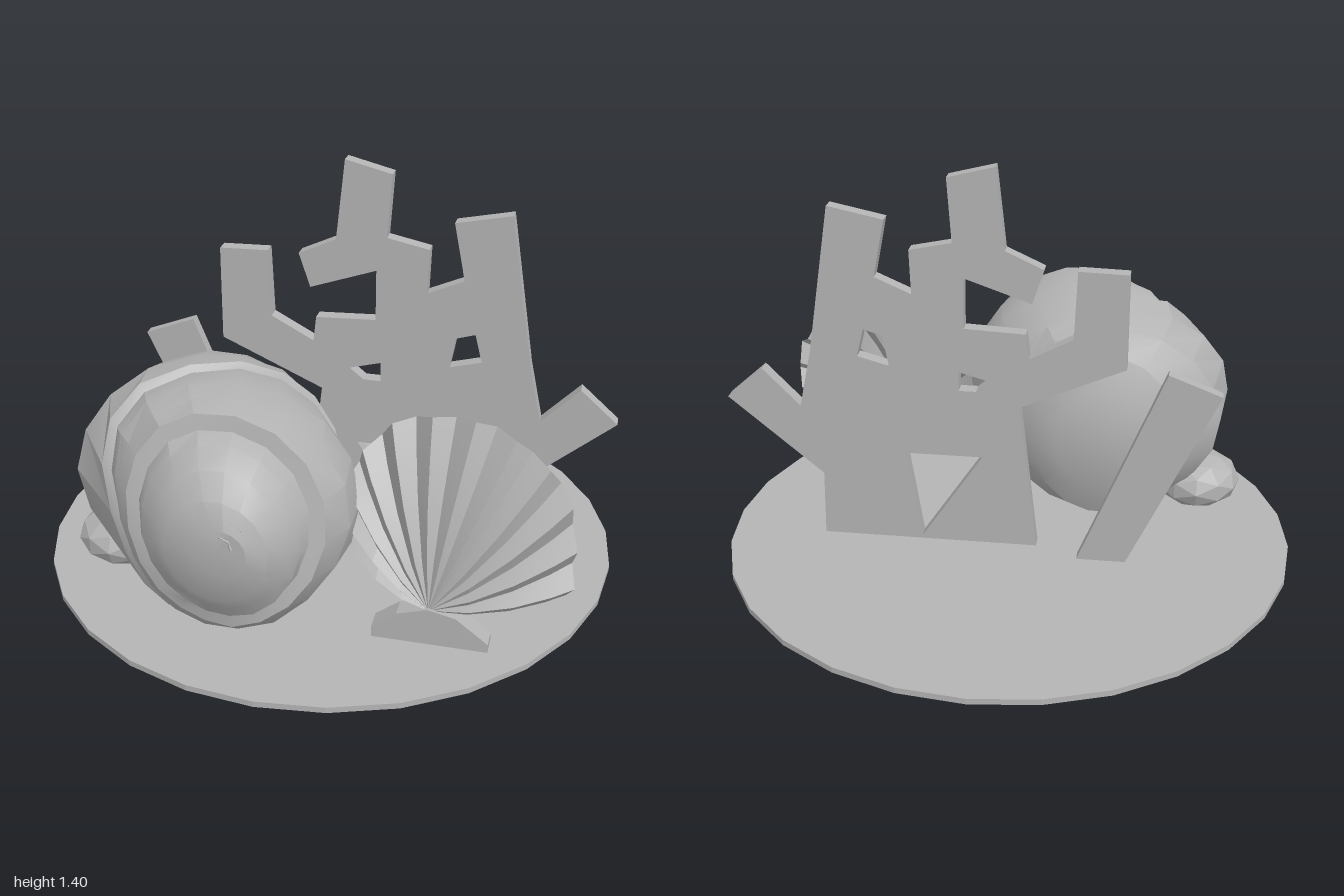
import * as THREE from 'three';
import { toCreasedNormals } from 'three/addons/utils/BufferGeometryUtils.js';

const stone = new THREE.MeshStandardMaterial({ color: 0xb4b4b4, side: THREE.DoubleSide });
stone.name = 'stone grey';

function add(group, name, geometry, crease = 0.2) {
  const mesh = new THREE.Mesh(toCreasedNormals(geometry, crease), stone);
  mesh.name = name;
  group.add(mesh);
  return mesh;
}

// Linear interpolation in rows whose first entry is the key
function sample(rows, key) {
  const k = THREE.MathUtils.clamp(key, rows[0][0], rows[rows.length - 1][0]);
  let i = 0;
  while (i < rows.length - 2 && rows[i + 1][0] < k) i++;
  const t = (k - rows[i][0]) / (rows[i + 1][0] - rows[i][0]);
  return rows[i].slice(1).map((v, n) => v + (rows[i + 1][n + 1] - v) * t);
}

function meshFrom(points, faces) {
  const g = new THREE.BufferGeometry();
  g.setAttribute('position', new THREE.Float32BufferAttribute(points.flat(), 3));
  g.setIndex(faces.flat());
  return g;
}

// Flat plate cut from an outline, from z0 to z1
function plate(outline, z0, z1, holes = []) {
  const toVectors = (list) => list.map(([x, y]) => new THREE.Vector2(x, y));
  const shape = new THREE.Shape(toVectors(outline));
  shape.holes = holes.map((h) => new THREE.Path(toVectors(h)));
  return new THREE.ExtrudeGeometry(shape, { depth: z1 - z0, bevelEnabled: false }).translate(0, 0, z0);
}

// Body extents along z: z, left x, right x, bottom y, top y
const BODY = [
  [0, -0.5, -0.16, 0.2, 0.58], [0.05, -0.6, -0.06, 0.08, 0.7], [0.15, -0.71, 0.06, 0.03, 0.77],
  [0.3, -0.79, 0.16, 0.02, 0.8], [0.45, -0.77, 0.21, 0.02, 0.81], [0.58, -0.67, 0.21, 0.02, 0.81],
  [0.7, -0.53, 0.15, 0.04, 0.79], [0.8, -0.42, 0.08, 0.13, 0.71], [0.87, -0.31, 0.02, 0.27, 0.62],
  [0.9, -0.2, -0.04, 0.38, 0.54],
];

// Rings along the body: z, tilt in x, tilt in y, scale; the dips are the seams of the whorls
const RINGS = [
  [0, 0, 0, 1], [0.05, 0, 0, 1], [0.16, -0.05, -0.03, 1], [0.3, -0.15, -0.08, 1], [0.44, -0.24, -0.13, 1.01],
  [0.455, -0.24, -0.13, 0.95], [0.49, -0.22, -0.12, 0.97], [0.57, -0.15, -0.1, 1], [0.66, -0.07, -0.08, 1],
  [0.735, -0.03, -0.07, 1.02], [0.745, -0.03, -0.07, 0.89], [0.78, -0.02, -0.04, 0.94],
  [0.83, -0.01, -0.02, 0.98], [0.87, 0, 0, 1], [0.9, 0, 0, 1],
];

function spiralBody() {
  const n = 18, points = [], faces = [];
  RINGS.forEach(([z0, tiltX, tiltY, s]) => {
    for (let j = 0; j < n; j++) {
      const a = (j / n) * Math.PI * 2, c = Math.cos(a), d = Math.sin(a);
      const z = THREE.MathUtils.clamp(z0 + tiltX * c + tiltY * d, 0, 0.9);
      const [x0, x1, y0, y1] = sample(BODY, z);
      points.push([(x0 + x1) / 2 + ((x1 - x0) / 2) * s * c, (y0 + y1) / 2 + ((y1 - y0) / 2) * s * d, z]);
    }
  });
  const last = (RINGS.length - 1) * n;
  const back = points.push([-0.34, 0.4, -0.015]) - 1;
  const front = points.push([-0.12, 0.47, 0.9]) - 1;
  for (let j = 0; j < n; j++) {
    const k = (j + 1) % n;
    for (let i = 0; i < last; i += n) faces.push([i + j, i + k, i + n + k], [i + j, i + n + k, i + n + j]);
    faces.push([back, k, j], [front, last + j, last + k]);
  }
  return meshFrom(points, faces);
}

// Rim of the fan by angle in degrees: angle, radius, z
const RIM = [
  [8, 0.44, 0.52], [25, 0.49, 0.49], [45, 0.57, 0.43], [75, 0.6, 0.38], [105, 0.58, 0.37],
  [116, 0.53, 0.38], [128, 0.48, 0.39], [150, 0.36, 0.41], [166, 0.28, 0.43],
];

function pleatedFan() {
  const n = 24, steps = [0, 0.3, 0.6, 0.85, 1], points = [], faces = [];
  for (let j = 0; j <= n; j++) {
    const deg = 8 + (158 * j) / n, a = (deg * Math.PI) / 180;
    const [r, rimZ] = sample(RIM, deg);
    const fold = j % 2 ? 0.035 : -0.025;
    steps.forEach((t) => {
      const reach = r * t * (j % 2 ? 1 : 0.96);
      const z = 0.6 + (rimZ - 0.6) * t + 0.22 * t * (1 - t) + fold * t;
      points.push([0.46 + Math.cos(a) * reach, 0.15 + Math.sin(a) * reach, z]);
    });
  }
  const m = steps.length;
  for (let j = 0; j < n; j++) {
    for (let i = 0; i < m - 1; i++) {
      const p = j * m + i, q = p + m;
      faces.push([p, p + 1, q + 1], [p, q + 1, q]);
    }
  }
  return meshFrom(points, faces);
}

export function createModel() {
  const model = new THREE.Group();
  model.name = 'seabedOrnament';

  // Thin round base
  add(model, 'base', new THREE.CylinderGeometry(1, 1, 0.02, 28).translate(0, 0.01, 0));

  // Branching coral plate with gaps between its branches
  const coral = [
    [-0.11, 0.02], [0.655, 0.02], [0.65, 0.26], [0.98, 0.54], [0.85, 0.655], [0.72, 0.52], [0.675, 0.725],
    [0.59, 1.25], [0.4, 1.21], [0.44, 1.01], [0.315, 0.955], [0.32, 1.11], [0.175, 1.14], [0.19, 1.36],
    [0.03, 1.4], [0, 1.12], [-0.13, 1.06], [-0.09, 0.94], [0.14, 1.02], [0.14, 0.84], [-0.07, 0.83],
    [-0.08, 0.74], [-0.23, 0.82], [-0.24, 1.06], [-0.41, 1.055], [-0.41, 0.72], [-0.05, 0.56],
  ];
  add(model, 'coral', plate(coral, -0.11, -0.06, [
    [[0.42, 0.8], [0.485, 0.82], [0.51, 0.72], [0.4, 0.69]],
    [[0.05, 0.65], [0.16, 0.68], [0.16, 0.61], [0.1, 0.61]],
    [[0.3, 0.03], [0.08, 0.36], [0.35, 0.36]],
  ]));

  // Single leaning branch behind
  add(model, 'leaningBranch', plate([[-0.43, 0.02], [-0.26, 0.02], [-0.55, 0.74], [-0.73, 0.67]], -0.18, -0.14));

  // Coiled shell with a small spiral at its tip
  add(model, 'coiledShell', spiralBody(), 0.4);
  const spiral = [];
  for (let i = 0; i <= 12; i++) {
    const a = i * 0.9, r = 0.025 + i * 0.007;
    spiral.push(new THREE.Vector3(-0.11 + r * Math.cos(a), 0.48 + r * Math.sin(a), 0.892 - i * 0.002));
  }
  add(model, 'shellTipSpiral', new THREE.TubeGeometry(new THREE.CatmullRomCurve3(spiral), 26, 0.013, 4));

  // Fan shell with its foot
  add(model, 'fanShell', pleatedFan());
  add(model, 'fanFoot', plate(
    [[0.28, 0.03], [0.655, 0.03], [0.655, 0.06], [0.55, 0.14], [0.46, 0.16], [0.36, 0.13], [0.28, 0.07]], 0.54, 0.61));

  // Pebble beside the coiled shell
  const pebble = new THREE.IcosahedronGeometry(1, 1).scale(0.16, 0.1, 0.16).translate(-0.67, 0.11, 0.32);
  add(model, 'pebble', pebble);

  return model;
}
